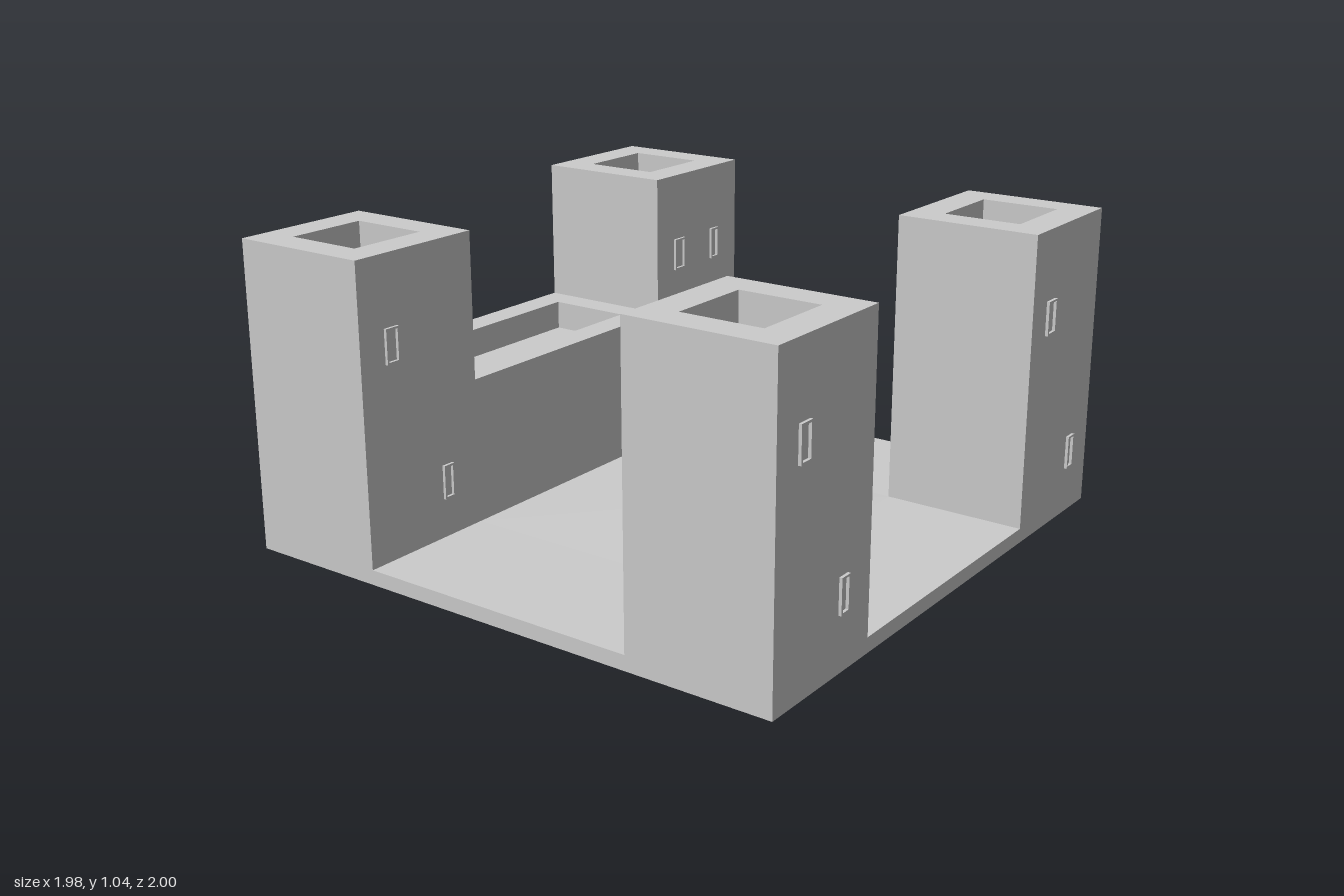
import * as THREE from 'three';

const OUT = 0.99, IN = 0.495, FLOOR = 0.05, MID = (OUT + IN) / 2, SIZE = OUT - IN;

const material = new THREE.MeshStandardMaterial({ color: 0xcccccc, flatShading: true });

function add(parent, name, geometry, x = 0, y = 0, z = 0) {
  const mesh = new THREE.Mesh(geometry, material);
  mesh.name = name;
  mesh.position.set(x, y, z);
  parent.add(mesh);
  return mesh;
}

// Flat rectangular ring of outer size w x h, extruded along +z
function frameGeometry(w, h, innerW, innerH, depth) {
  const rect = (T, a, b) => new T([[-a, -b], [a, -b], [a, b], [-a, b]]
    .map(([x, y]) => new THREE.Vector2(x / 2, y / 2)));
  const shape = rect(THREE.Shape, w, h);
  shape.holes.push(rect(THREE.Path, innerW, innerH));
  return new THREE.ExtrudeGeometry(shape, { depth, bevelEnabled: false });
}

// Solid block standing on the floor slab with a sunken roof inside a parapet
function roofedBlock(name, w, d, top, holeW, holeD, sink) {
  const group = new THREE.Group();
  group.name = name;
  const h = top - sink - FLOOR;
  add(group, 'body', new THREE.BoxGeometry(w, h, d), 0, FLOOR + h / 2, 0);
  const parapet = frameGeometry(w, d, holeW, holeD, sink).rotateX(-Math.PI / 2);
  add(group, 'parapet', parapet, 0, top - sink, 0);
  return group;
}

export function createModel() {
  const model = new THREE.Group();

  // Base slab
  add(model, 'base', new THREE.BoxGeometry(2 * OUT, FLOOR, 2 * OUT), 0, FLOOR / 2, 0);

  // Gently raised courtyard
  const mound = new THREE.CylinderGeometry(0, IN * Math.SQRT2, 0.018, 4, 1, true).rotateY(Math.PI / 4);
  add(model, 'courtyard', mound, 0, FLOOR + 0.009, 0);

  // Octagonal well rim
  const profile = [[0.175, FLOOR], [0.205, FLOOR], [0.205, 0.15], [0.175, 0.15], [0.175, FLOOR]]
    .map(([r, y]) => new THREE.Vector2(r, y));
  add(model, 'wellRim', new THREE.LatheGeometry(profile, 8));

  // Four corner towers
  for (const sx of [-1, 1]) for (const sz of [-1, 1]) {
    const name = (sz > 0 ? 'front' : 'back') + (sx > 0 ? 'Left' : 'Right') + 'Tower';
    const tower = roofedBlock(name, SIZE, SIZE, 1.04, 0.28, 0.27, 0.1);
    tower.position.set(sx * MID, 0, sz * MID);
    model.add(tower);
  }

  // Back wall between the rear towers
  const wall = roofedBlock('backWall', 2 * IN, SIZE, 0.545, 0.8, 0.3, 0.1);
  wall.position.z = -MID + 0.001;
  wall.position.z = -MID;
  model.add(wall);

  // Window frames: [position along the face, centre height, width]
  const faces = [
    { z: OUT, turn: 0, list: [[-0.86, 0.75, 0.055], [-0.64, 0.24, 0.045], [0.625, 0.745, 0.06], [0.845, 0.22, 0.045]] },
    { z: -IN, turn: 0, list: [[-0.86, 0.75, 0.055], [-0.64, 0.24, 0.045], [0.625, 0.745, 0.06], [0.845, 0.745, 0.045],
      [0.445, 0.23, 0.085]] },
    { z: -OUT, turn: Math.PI, list: [[0.625, 0.745, 0.065], [0.625, 0.22, 0.065], [-0.74, 0.745, 0.165], [-0.45, 0.22, 0.095]] },
    { z: IN, turn: Math.PI, list: [[0.845, 0.745, 0.05], [0.625, 0.22, 0.06], [-0.86, 0.745, 0.06], [-0.86, 0.225, 0.06],
      [-0.555, 0.365, 0.11]] },
    { x: -IN, turn: Math.PI / 2, list: [[0.845, 0.745, 0.05], [0.64, 0.745, 0.05], [0.745, 0.235, 0.165]] },
  ];
  const windows = new THREE.Group();
  windows.name = 'windows';
  model.add(windows);
  for (const { x, z, turn, list } of faces) {
    for (const [along, y, w] of list) {
      const frame = frameGeometry(w, 0.115, w - 0.014, 0.101, 0.01);
      const mesh = add(windows, 'windowFrame', frame, x ?? along, y, z ?? along);
      mesh.rotation.y = turn;
    }
  }

  return model;
}
